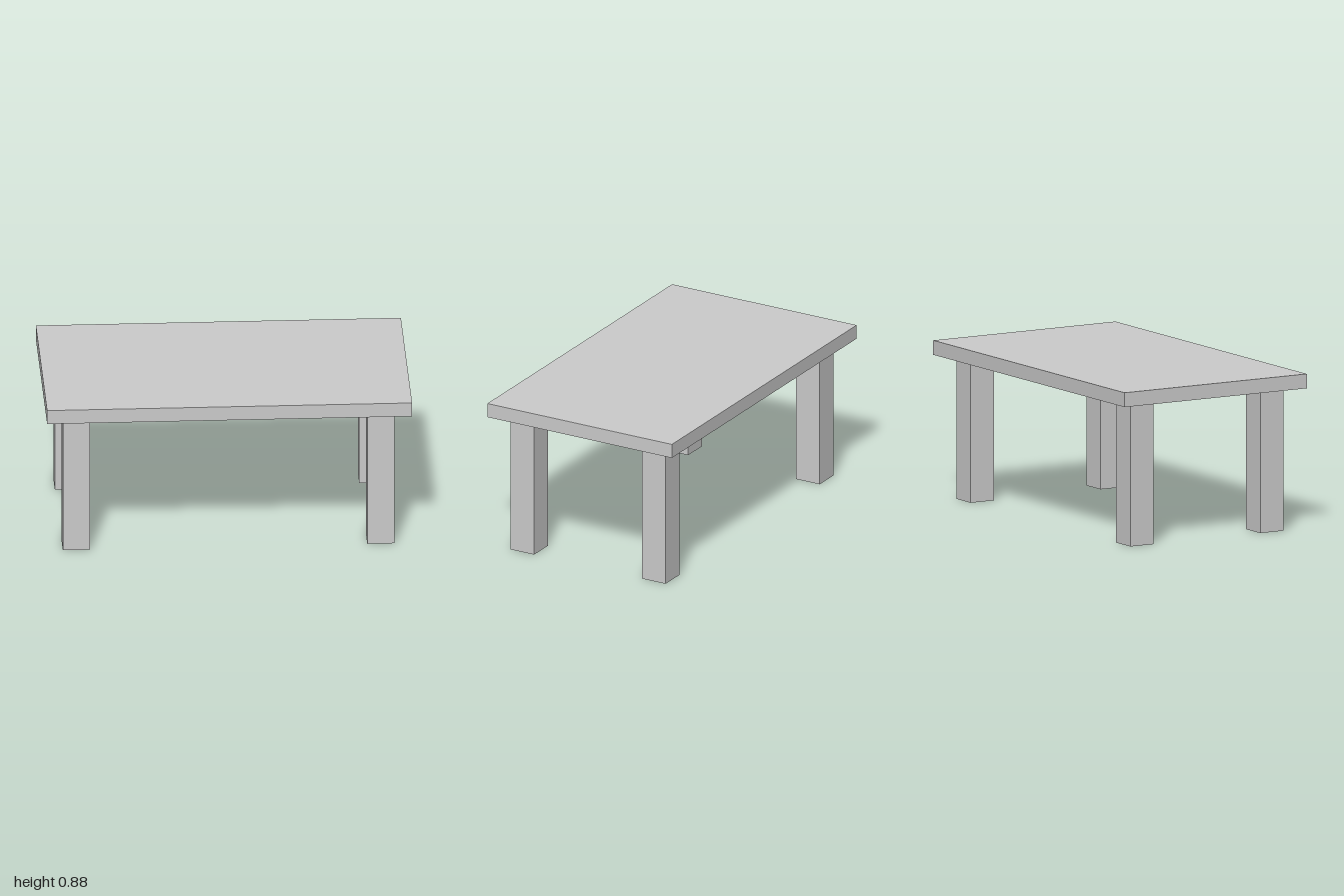
import * as THREE from 'three';

export function createModel() {
  const group = new THREE.Group();
  const material = new THREE.MeshStandardMaterial({ color: 0xcccccc, flatShading: true });

  const legHeight = 0.795, topThickness = 0.08, legWidth = 0.15;

  const addBox = (name, size, position) => {
    const mesh = new THREE.Mesh(new THREE.BoxGeometry(...size), material);
    mesh.name = name;
    mesh.position.set(...position);
    group.add(mesh);
  };

  // Flat slab top
  addBox('tableTop', [2, topThickness, 1.17], [0, legHeight + topThickness / 2, 0]);

  // Four square legs, inset from the corners
  for (const [sx, xName] of [[1, 'Left'], [-1, 'Right']]) {
    for (const [sz, zName] of [[1, 'front'], [-1, 'back']]) {
      addBox(zName + xName + 'Leg', [legWidth, legHeight, legWidth],
        [sx * 0.834, legHeight / 2, sz * 0.417]);
    }
  }

  return group;
}
